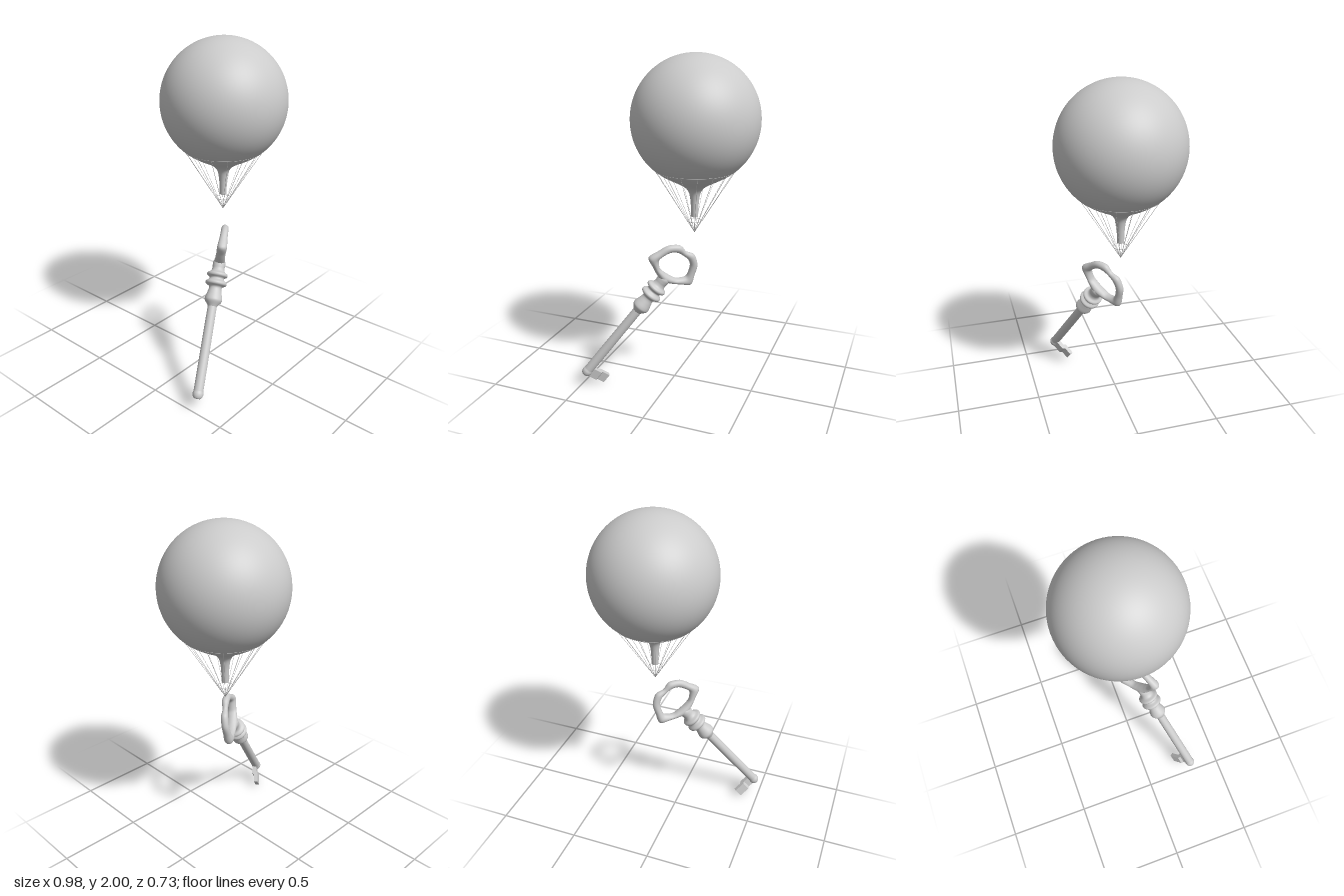
import * as THREE from 'three';

const V2 = (p) => new THREE.Vector2(p[0], p[1]);
const V3 = (x, y, z) => new THREE.Vector3(x, y, z);
const grey = new THREE.MeshStandardMaterial({ color: 0xcccccc });
const greyDouble = new THREE.MeshStandardMaterial({ color: 0xcccccc, side: THREE.DoubleSide });

function add(parent, name, geometry, material = grey) {
  const mesh = new THREE.Mesh(geometry, material);
  mesh.name = name;
  parent.add(mesh);
  return mesh;
}

// Lathe a smooth curve through (radius, height) points
function smoothLathe(points, steps, sides) {
  const profile = new THREE.SplineCurve(points.map(V2)).getPoints(steps);
  profile.forEach((p) => { p.x = Math.max(p.x, 0); });
  return new THREE.LatheGeometry(profile, sides);
}

function buildBalloon() {
  const balloon = new THREE.Group();
  balloon.name = 'balloon';
  const R = 0.365, cy = 1.635, hoopY = 1.353, apexY = 0.98;
  const hoopR = Math.sqrt(R * R - (cy - hoopY) ** 2);

  // Envelope: open spherical cap that runs down to the hoop
  const cut = Math.PI - Math.asin(hoopR / R);
  add(balloon, 'envelope', new THREE.SphereGeometry(R, 64, 48, 0, Math.PI * 2, 0, cut), greyDouble)
    .position.y = cy;

  // Neck: funnel narrowing into an open tube
  add(balloon, 'neck', smoothLathe([
    [0.02, 1.075], [0.022, 1.13], [0.026, 1.18], [0.036, 1.222], [0.06, 1.252],
    [0.105, 1.279], [0.155, 1.304], [0.2, 1.33], [hoopR, hoopY],
  ], 40, 48), greyDouble);

  // Hoops around the envelope and above the rope knot
  const hoop = (name, r, y, thick) => {
    const m = add(balloon, name, new THREE.TorusGeometry(r, thick, 6, 64));
    m.rotation.x = Math.PI / 2;
    m.position.y = y;
  };
  hoop('envelopeHoop', hoopR, hoopY, 0.0015);
  hoop('ropeHoop', hoopR * (1.05 - apexY) / (hoopY - apexY), 1.05, 0.0015);

  // Ropes meeting at one point
  const count = 16;
  for (let i = 0; i < count; i++) {
    const a = (i / count) * Math.PI * 2;
    const top = V3(Math.cos(a) * hoopR, hoopY, Math.sin(a) * hoopR);
    const path = new THREE.LineCurve3(V3(0, apexY, 0), top);
    add(balloon, 'rope', new THREE.TubeGeometry(path, 1, 0.0012, 5));
  }
  balloon.position.x = 0.125;
  return balloon;
}

// Bow: closed loop of oval sections between an outer and an inner outline
function bowGeometry() {
  // outer x, y, inner x, y, half depth (right half, top to bottom)
  const half = [
    [0, 0.982, 0, 0.95, 0.016], [0.055, 0.992, 0.042, 0.947, 0.022],
    [0.114, 0.952, 0.076, 0.925, 0.022], [0.142, 0.892, 0.098, 0.885, 0.024],
    [0.165, 0.826, 0.104, 0.848, 0.029], [0.107, 0.793, 0.066, 0.81, 0.027],
    [0.058, 0.768, 0.032, 0.803, 0.03], [0, 0.75, 0, 0.802, 0.034],
  ];
  const mirrored = half.slice(1, -1).reverse().map(([a, b, c, d, e]) => [-a, b, -c, d, e]);
  const all = [...half, ...mirrored];
  const outer = new THREE.CatmullRomCurve3(all.map((p) => V3(p[0], p[1], p[4])), true, 'catmullrom', 0.45);
  const inner = new THREE.CatmullRomCurve3(all.map((p) => V3(p[2], p[3], 0)), true, 'catmullrom', 0.45);
  const n = 98, m = 16, pos = [], index = [];
  for (let i = 0; i < n; i++) {
    const o = outer.getPoint(i / n), q = inner.getPoint(i / n), depth = o.z;
    for (let j = 0; j < m; j++) {
      const a = (j / m) * Math.PI * 2, k = (1 + Math.cos(a)) / 2;
      pos.push(q.x + (o.x - q.x) * k, q.y + (o.y - q.y) * k, Math.sin(a) * depth);
      const i2 = (i + 1) % n, j2 = (j + 1) % m;
      const A = i * m + j, B = i2 * m + j, C = i2 * m + j2, D = i * m + j2;
      index.push(A, C, B, A, D, C);
    }
  }
  const g = new THREE.BufferGeometry();
  g.setAttribute('position', new THREE.Float32BufferAttribute(pos, 3));
  g.setIndex(index);
  g.computeVertexNormals();
  return g;
}

function buildKey() {
  const key = new THREE.Group();
  key.name = 'key';

  // Shaft with a rounded end bead
  add(key, 'shaft', smoothLathe([
    [0, -0.024], [0.018, -0.022], [0.028, -0.01], [0.031, 0.006], [0.028, 0.022],
    [0.028, 0.04], [0.028, 0.25], [0.027, 0.5], [0.027, 0.54],
  ], 48, 32));

  // Turned collar: flared knob, two rings and the stem under the bow
  add(key, 'collar', smoothLathe([
    [0.026, 0.505], [0.033, 0.515], [0.05, 0.538], [0.051, 0.556], [0.043, 0.585],
    [0.037, 0.61], [0.041, 0.624], [0.061, 0.636], [0.062, 0.651], [0.045, 0.666],
    [0.045, 0.677], [0.06, 0.688], [0.06, 0.702], [0.042, 0.715], [0.036, 0.732],
    [0.037, 0.75], [0.037, 0.77], [0.027, 0.787], [0, 0.793],
  ], 90, 32));

  add(key, 'bow', bowGeometry());

  // Bit: stepped section pulled along the shaft
  const section = new THREE.Shape([
    [0.0, -0.008], [0.06, -0.008], [0.072, -0.022], [0.142, -0.022], [0.142, 0.002],
    [0.09, 0.002], [0.078, 0.018], [0.0, 0.018],
  ].map(([x, z]) => V2([x, -z])));
  const bit = new THREE.ExtrudeGeometry(section, { depth: 0.06, bevelEnabled: false });
  bit.rotateX(-Math.PI / 2);
  add(key, 'bit', bit).position.y = -0.015;

  // Hangs tilted below the balloon, rolled a little about its own shaft
  key.rotation.order = 'YXZ';
  key.rotation.set(0, 0.44, -0.67);
  key.rotateY(0.23);
  key.position.set(-0.46, 0.1, 0.304);
  return key;
}

export function createModel() {
  const model = new THREE.Group();
  model.name = 'balloonWithKey';
  model.add(buildBalloon(), buildKey());
  return model;
}
